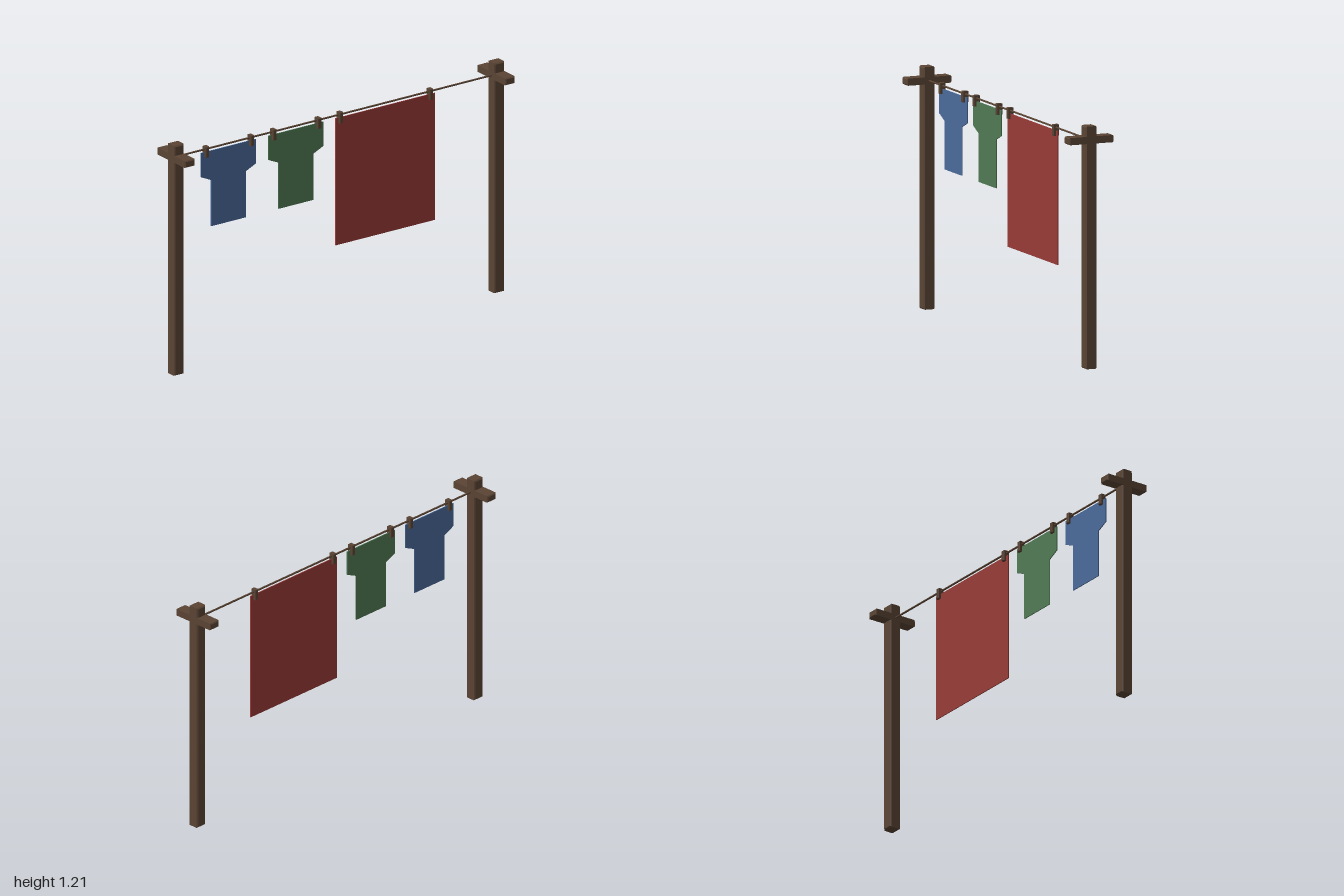
import * as THREE from 'three';

const mat = (name, color) => {
  const m = new THREE.MeshStandardMaterial({ color });
  m.name = name;
  return m;
};

// Box with small chamfered edges, centred on the origin
function chamferBox(w, h, d, c) {
  const x = w / 2 - c, y = h / 2 - c;
  const s = new THREE.Shape([[-x, -y], [x, -y], [x, y], [-x, y]].map(p => new THREE.Vector2(...p)));
  const g = new THREE.ExtrudeGeometry(s, {
    depth: d - 2 * c, bevelEnabled: true, bevelSize: c, bevelThickness: c, bevelSegments: 1,
  });
  return g.translate(0, 0, -(d / 2 - c));
}

// Thin hanging cloth cut from an outline
function clothGeometry(points, thickness = 0.005) {
  const s = new THREE.Shape(points.map(p => new THREE.Vector2(...p)));
  return new THREE.ExtrudeGeometry(s, { depth: thickness, bevelEnabled: false })
    .translate(0, 0, -thickness / 2);
}

export function createModel() {
  const model = new THREE.Group();
  model.name = 'clothesline';
  const wood = mat('dark wood', 0x5a4434);
  const blue = mat('blue cloth', 0x4a6a9a);
  const green = mat('green cloth', 0x507a54);
  const red = mat('red cloth', 0x983a36);

  const add = (name, geometry, material, x, y, z = 0, parent = model) => {
    const m = new THREE.Mesh(geometry, material);
    m.name = name;
    m.position.set(x, y, z);
    parent.add(m);
    return m;
  };

  // Posts with crossbars
  const postGeo = chamferBox(0.06, 1.21, 0.06, 0.006);
  const barGeo = chamferBox(0.06, 0.036, 0.24, 0.005);
  for (const [side, x] of [['left', 0.97], ['right', -0.97]]) {
    const post = new THREE.Group();
    post.name = side + 'Post';
    post.position.x = x;
    model.add(post);
    add('upright', postGeo, wood, 0, 0.605, 0, post);
    add('crossbar', barGeo, wood, 0, 1.141, 0, post);
  }

  // Line between the posts
  const rope = new THREE.CylinderGeometry(0.005, 0.005, 1.9, 8).rotateZ(Math.PI / 2);
  add('rope', rope, wood, 0, 1.14);

  // Two shirts and a sheet, hung just below the line
  const top = 1.125;
  const half = [[0.105, -0.398], [0.105, -0.155], [0.167, -0.127], [0.167, 0]];
  const shirt = clothGeometry([...half, ...half.map(([x, y]) => [-x, y]).reverse()]);
  add('blueShirt', shirt, blue, -0.652, top);
  add('greenShirt', shirt, green, -0.244, top);
  const sheet = clothGeometry([[-0.301, -0.668], [0.301, -0.668], [0.301, 0], [-0.301, 0]]);
  add('sheet', sheet, red, 0.298, top);

  // Clothes pegs
  const pegGeo = chamferBox(0.021, 0.056, 0.032, 0.003);
  for (const x of [-0.788, -0.517, -0.381, -0.109, 0.023, 0.569]) add('peg', pegGeo, wood, x, 1.127);

  return model;
}
